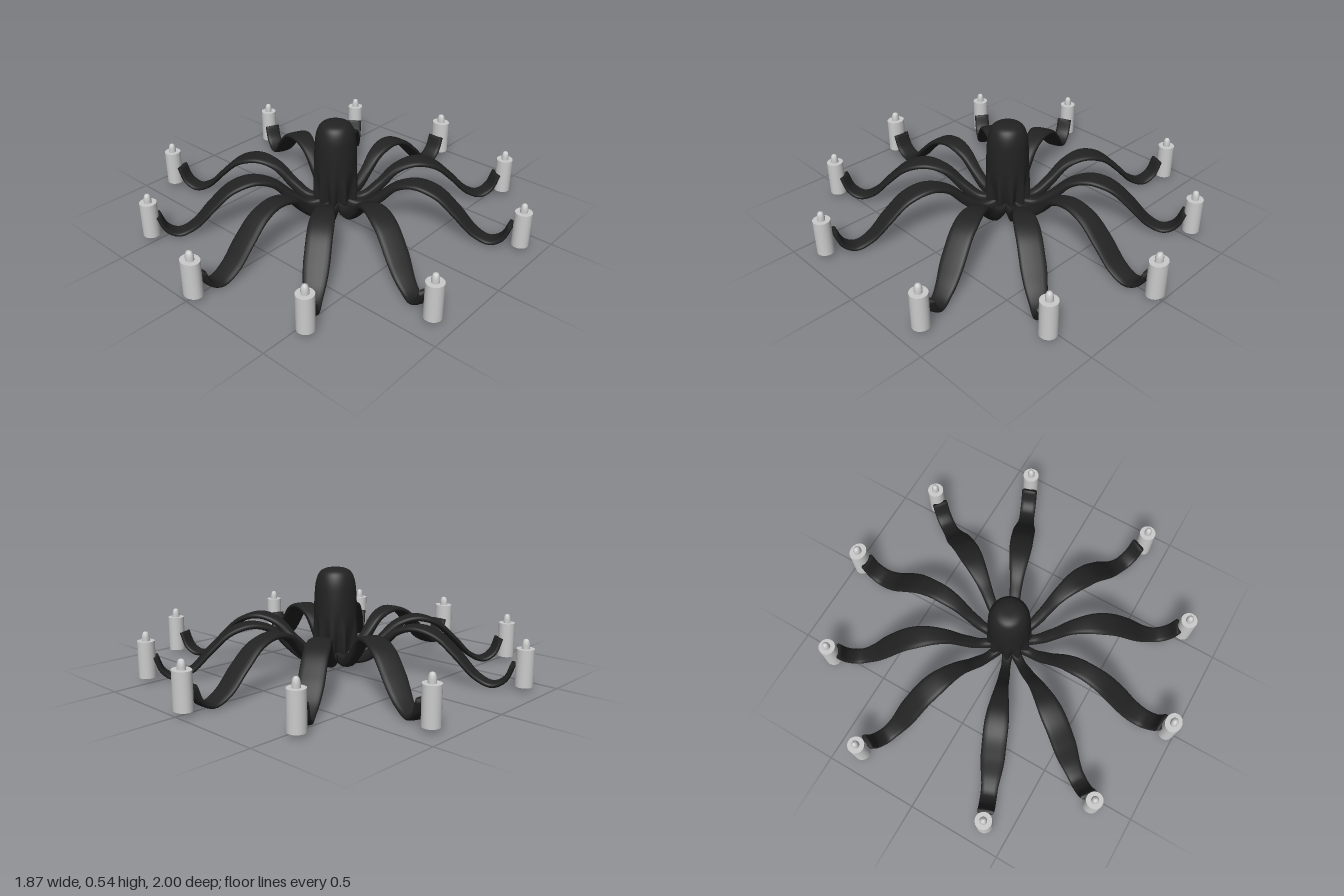
import * as THREE from 'three';
import { mergeVertices } from 'three/addons/utils/BufferGeometryUtils.js';

const V = (x, y) => new THREE.Vector2(x, y);
const dark = new THREE.MeshStandardMaterial({ color: 0x222222 });
const grey = new THREE.MeshStandardMaterial({ color: 0xcccccc });

// Arm headings in degrees from +z; each also points to a candle.
const half = [34.3, 67.5, 112.5, 145.7];
const headings = [0, ...half, 180, ...half.map(a => -a)].map(THREE.MathUtils.degToRad);

// Linear interpolation through [t, value] pairs, eased between stops.
function sample(stops, t) {
  let i = 0;
  while (i < stops.length - 2 && t > stops[i + 1][0]) i++;
  const [t0, v0] = stops[i], [t1, v1] = stops[i + 1];
  return v0 + (v1 - v0) * THREE.MathUtils.smoothstep(t, t0, t1);
}

// Wavy flat arm lying along +z, lofted from rounded flat sections.
function armGeometry(widths) {
  const path = new THREE.CatmullRomCurve3([
    [0.04, 0.11], [0.09, 0.085], [0.16, 0.09], [0.24, 0.15], [0.33, 0.235], [0.43, 0.265], [0.54, 0.235],
    [0.64, 0.15], [0.74, 0.05], [0.82, 0.017], [0.88, 0.05], [0.915, 0.13],
  ].map(([z, y]) => new THREE.Vector3(0, y, z)));
  const rows = 64, sides = 16, pos = [], index = [];
  const power = (v, e) => Math.sign(v) * Math.abs(v) ** e;
  for (let i = 0; i <= rows; i++) {
    const p = path.getPointAt(i / rows), t = path.getTangentAt(i / rows);
    const w = sample(widths, p.z);
    const h = sample([[0.04, 0.035], [0.16, 0.028], [0.4, 0.016], [0.92, 0.013]], p.z);
    for (let j = 0; j < sides; j++) {
      const a = j / sides * Math.PI * 2;
      const u = power(Math.cos(a), 0.6) * w, n = power(Math.sin(a), 0.75) * h;
      pos.push(u, p.y + n * t.z, p.z - n * t.y);
      if (i < rows) {
        const k = (j + 1) % sides, r = i * sides, s = r + sides;
        index.push(r + j, r + k, s + j, r + k, s + k, s + j);
      }
    }
  }
  // flat end cap
  const last = rows * sides;
  for (let j = 1; j < sides - 1; j++) index.push(last, last + j, last + j + 1);
  const g = new THREE.BufferGeometry();
  g.setAttribute('position', new THREE.Float32BufferAttribute(pos, 3));
  g.setIndex(index);
  g.computeVertexNormals();
  return g;
}

// Domed body whose lower half is fluted between the arms.
function bodyGeometry() {
  const profile = new THREE.SplineCurve([
    V(0, 0.055), V(0.06, 0.056), V(0.105, 0.07), V(0.118, 0.12), V(0.118, 0.2), V(0.112, 0.3),
    V(0.108, 0.4), V(0.1, 0.475), V(0.08, 0.523), V(0.045, 0.542), V(0, 0.545),
  ]).getPoints(50);
  profile.forEach(p => { p.x = Math.max(p.x, 0); });
  let g = new THREE.LatheGeometry(profile, 120);
  const p = g.attributes.position;
  for (let i = 0; i < p.count; i++) {
    const x = p.getX(i), y = p.getY(i), z = p.getZ(i), a = Math.atan2(x, z);
    const gap = Math.min(...headings.map(h => Math.acos(Math.min(1, Math.cos(a - h)))));
    const groove = (1 - Math.cos(Math.min(gap / 0.3, 1) * Math.PI)) / 2;
    const k = 1 - 0.32 * groove * (1 - THREE.MathUtils.smoothstep(y, 0.07, 0.34));
    p.setXYZ(i, x * k, y, z * k);
  }
  g.deleteAttribute('uv');
  g.deleteAttribute('normal');
  g = mergeVertices(g, 1e-5);
  g.computeVertexNormals();
  return g;
}

export function createModel() {
  const model = new THREE.Group();
  model.name = 'candelabra';
  const add = (name, geometry, material, parent) => {
    const m = new THREE.Mesh(geometry, material);
    m.name = name;
    parent.add(m);
    return m;
  };

  add('body', bodyGeometry(), dark, model);

  const root = [[0.04, 0.03], [0.14, 0.025], [0.22, 0.03]];
  const straightArm = armGeometry([...root, [0.42, 0.05], [0.65, 0.062], [0.92, 0.048]]);
  const wavyArm = armGeometry([...root, [0.52, 0.062], [0.64, 0.062], [0.8, 0.043], [0.92, 0.043]]);
  const candleGeo = new THREE.CylinderGeometry(0.043, 0.043, 0.185, 24);
  const flameGeo = new THREE.LatheGeometry(
    [V(0.019, 0.2), V(0.019, 0.228), V(0.016, 0.243), V(0.011, 0.254), V(0, 0.258)], 16);

  headings.forEach(a => {
    const onAxis = Math.abs(Math.sin(a)) < 0.01;
    const limb = new THREE.Group();
    limb.name = 'limb';
    limb.rotation.y = a;
    model.add(limb);
    add('arm', onAxis ? straightArm : wavyArm, dark, limb);

    // candle at the arm tip; the front and back ones are wider
    const candle = new THREE.Group();
    candle.name = 'candle';
    candle.position.z = Math.abs(Math.cos(a)) < 0.5 ? 0.967 : 0.957;
    candle.scale.x = onAxis ? 1.2 : 1;
    limb.add(candle);
    add('candleStick', candleGeo, grey, candle).position.y = 0.1175;
    add('candleTip', flameGeo, grey, candle);
  });
  return model;
}
